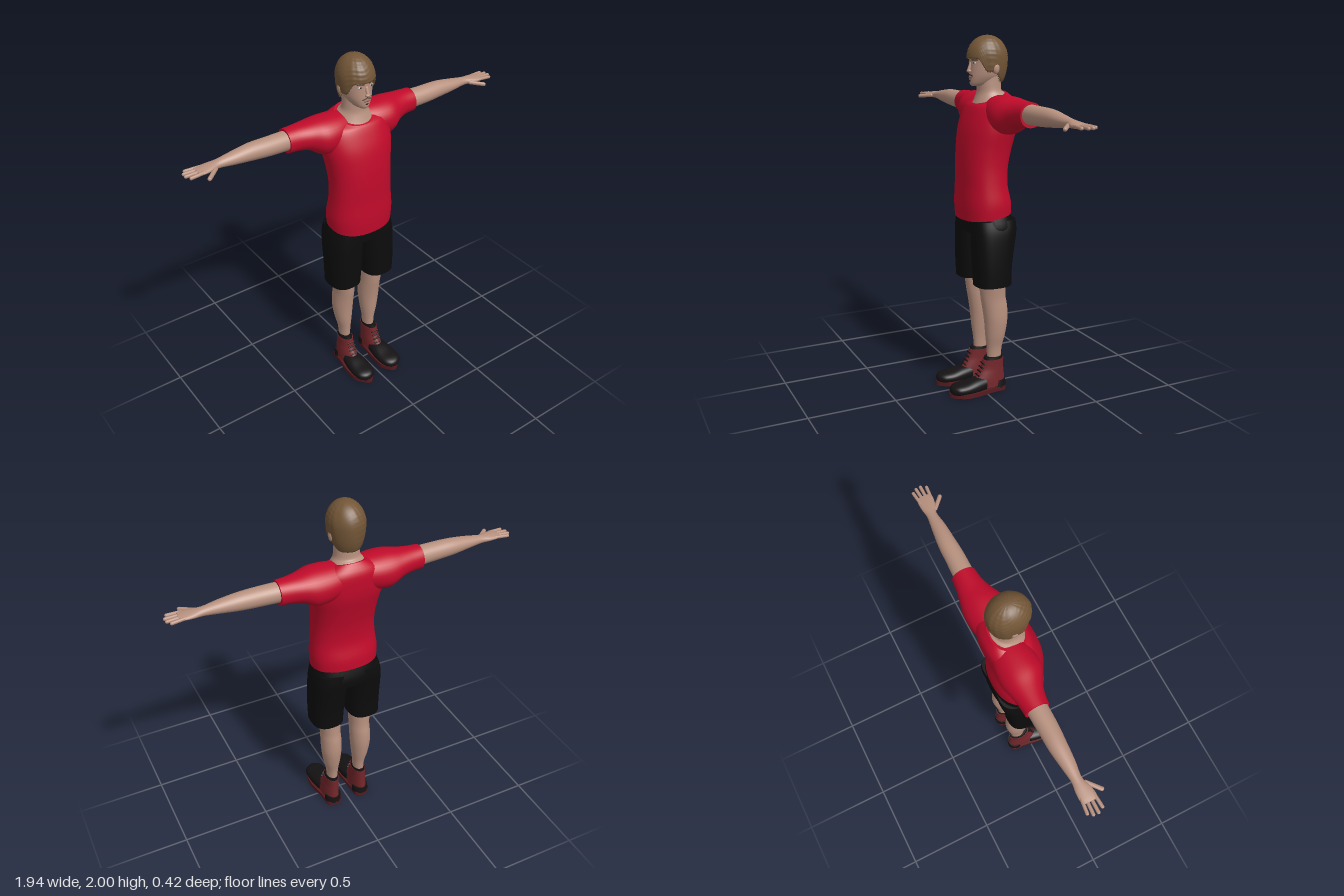
import * as THREE from 'three';
import { mergeVertices } from 'three/addons/utils/BufferGeometryUtils.js';

const material = (name, color) => {
  const m = new THREE.MeshStandardMaterial({ color });
  m.name = name;
  return m;
};

// Smooth capped loft along an axis. Row: [t, a0, a1, b0, b1, tilt], where
// (t,a,b) = (y,x,z), (x,z,y) or (z,y,x); tilt slants the ring along b.
function loft(axis, rows, power = 2, n = 36, steps = 4) {
  const T = 'xyz'.indexOf(axis), B = (T + 1) % 3, A = (T + 2) % 3;
  const pos = [], index = [], rings = [];
  const curve = (k, i, f) => {
    const at = (j) => rows[THREE.MathUtils.clamp(j, 0, rows.length - 1)][k] ?? 0;
    const p0 = at(i - 1), p1 = at(i), p2 = at(i + 1), p3 = at(i + 2);
    const v0 = (p2 - p0) / 2, v1 = (p3 - p1) / 2;
    return (2 * p1 - 2 * p2 + v0 + v1) * f ** 3 + (-3 * p1 + 3 * p2 - 2 * v0 - v1) * f * f + v0 * f + p1;
  };
  const total = (rows.length - 1) * steps;
  const bend = (v) => Math.sign(v) * Math.abs(v) ** (2 / power);
  for (let s = 0; s <= total; s++) {
    const i = Math.min(Math.floor(s / steps), rows.length - 2), f = s / steps - i;
    const [t, a0, a1, b0, b1, tilt] = [0, 1, 2, 3, 4, 5].map((k) => curve(k, i, f));
    const ring = [];
    for (let j = 0; j < n; j++) {
      const w = (j / n) * Math.PI * 2, p = [];
      const db = (bend(Math.sin(w)) * (b1 - b0)) / 2;
      p[A] = (a0 + a1) / 2 + (bend(Math.cos(w)) * (a1 - a0)) / 2;
      p[B] = (b0 + b1) / 2 + db;
      p[T] = t + tilt * db;
      ring.push(p);
      pos.push(...p);
    }
    const c = [];
    c[A] = (a0 + a1) / 2; c[B] = (b0 + b1) / 2; c[T] = t;
    rings.push({ ring, c });
  }
  for (let s = 0; s < total; s++) for (let j = 0; j < n; j++) {
    const a = s * n + j, b = s * n + (j + 1) % n;
    index.push(a, a + n, b, b, a + n, b + n);
  }
  for (const end of [0, total]) {
    const base = pos.length / 3;
    pos.push(...rings[end].c, ...rings[end].ring.flat());
    for (let j = 0; j < n; j++) {
      const p = base + 1 + j, q = base + 1 + (j + 1) % n;
      end ? index.push(base, q, p) : index.push(base, p, q);
    }
  }
  const g = new THREE.BufferGeometry();
  g.setAttribute('position', new THREE.Float32BufferAttribute(pos, 3));
  g.setIndex(index);
  g.computeVertexNormals();
  return g;
}

function mirrored(geometry) {
  const g = geometry.clone();
  if (!g.index) g.setIndex([...Array(g.attributes.position.count).keys()]);
  g.scale(-1, 1, 1);
  const ix = g.index.array;
  for (let i = 0; i < ix.length; i += 3) [ix[i], ix[i + 1]] = [ix[i + 1], ix[i]];
  g.computeVertexNormals();
  return g;
}

const blob = (x, y, z, rx, ry, rz) => new THREE.SphereGeometry(1, 20, 14).scale(rx, ry, rz).translate(x, y, z);

// Rounded rod between two points
function rod(a, b, r) {
  const p = new THREE.Vector3(...a), q = new THREE.Vector3(...b), d = q.clone().sub(p);
  const g = new THREE.CapsuleGeometry(r, d.length(), 5, 10);
  g.applyQuaternion(new THREE.Quaternion().setFromUnitVectors(new THREE.Vector3(0, 1, 0), d.normalize()));
  const m = p.add(q).multiplyScalar(0.5);
  return g.translate(m.x, m.y, m.z);
}

// Tousled cap of hair: low at the nape, higher over the forehead
function hairGeometry() {
  const g = new THREE.SphereGeometry(1, 72, 36);
  const p = g.attributes.position, uv = g.attributes.uv, { smoothstep } = THREE.MathUtils;
  for (let i = 0; i < p.count; i++) {
    const a = uv.getX(i) * Math.PI * 2, v = 1 - uv.getY(i), f = Math.sin(a);
    const limit = 94 + 24 * (1 - smoothstep(f, 0.35, 0.8)) + 26 * (1 - smoothstep(f, -0.7, 0));
    const t = (v * limit * Math.PI) / 180, c = Math.cos(t);
    const tuft = 0.018 * Math.sin(9 * a + 14 * t) * Math.sin(17 * t + 4 * Math.sin(3 * a)) * Math.sin(t);
    const r = (v > 0.98 ? 0.88 : 1) * (0.985 + tuft);
    const s = c < 0 ? Math.sin(t) ** 0.6 : Math.sin(t);
    p.setXYZ(i, -0.099 * Math.cos(a) * s * r, 1.88 + c * (c < 0 ? 0.17 : 0.117 * r), -0.065 + 0.115 * f * s * r);
  }
  g.deleteAttribute('uv');
  g.deleteAttribute('normal');
  const merged = mergeVertices(g, 1e-5);
  merged.computeVertexNormals();
  return merged;
}

export function createModel() {
  const model = new THREE.Group();
  model.name = 'standingMan';
  const skin = material('skin', 0xb8917f), red = material('shirtRed', 0xc00a2a);
  const black = material('shortsBlack', 0x0c0c0d), brown = material('hairBrown', 0x735637);
  const bootRed = material('bootRed', 0x73262a), bootBlack = material('bootBlack', 0x151214);
  const soleRed = material('soleDarkRed', 0x561b1f), white = material('eyeWhite', 0xc8c0ba);
  const dark = material('darkBrown', 0x33231b), lip = material('lip', 0x8f5c52);
  brown.side = THREE.DoubleSide;

  const add = (name, geometry, mat) => {
    const mesh = new THREE.Mesh(geometry, mat);
    mesh.name = name;
    model.add(mesh);
  };
  const pair = (name, geometry, mat) => {
    add(name + 'Left', geometry, mat);
    add(name + 'Right', mirrored(geometry), mat);
  };

  // Head and neck
  add('head', loft('y', [
    [1.728, -0.022, 0.022, -0.04, 0.026], [1.74, -0.043, 0.043, -0.1, 0.036], [1.77, -0.064, 0.064, -0.14, 0.038],
    [1.8, -0.074, 0.074, -0.15, 0.037], [1.85, -0.081, 0.081, -0.16, 0.035], [1.9, -0.082, 0.082, -0.16, 0.035],
    [1.95, -0.068, 0.068, -0.14, 0.012], [1.98, -0.03, 0.03, -0.09, -0.03]]), skin);
  add('neck', loft('y', [
    [1.655, -0.1, 0.1, -0.165, 0.018, -0.35], [1.675, -0.085, 0.085, -0.155, 0.004, -0.25],
    [1.7, -0.07, 0.07, -0.143, -0.008, -0.08], [1.74, -0.066, 0.066, -0.14, -0.008], [1.79, -0.065, 0.065, -0.14, -0.01]]), skin);
  add('hair', hairGeometry(), brown);
  pair('ear', blob(0.085, 1.825, -0.075, 0.014, 0.032, 0.02), skin);

  // Face
  add('noseBridge', rod([0, 1.845, 0.033], [0, 1.812, 0.045], 0.009), skin);
  add('noseTip', blob(0, 1.808, 0.043, 0.015, 0.01, 0.013), skin);
  pair('eyeWhite', blob(0.033, 1.85, 0.026, 0.014, 0.006, 0.005), white);
  pair('iris', blob(0.033, 1.85, 0.029, 0.0055, 0.0055, 0.0035), dark);
  pair('eyebrow', rod([0.017, 1.866, 0.033], [0.048, 1.867, 0.018], 0.0035), dark);
  pair('moustache', rod([0.002, 1.789, 0.038], [0.023, 1.782, 0.034], 0.003), dark);
  add('lips', blob(0, 1.774, 0.037, 0.02, 0.006, 0.005), lip);
  add('chinBeard', blob(0, 1.757, 0.037, 0.008, 0.006, 0.004), dark);

  // T-shirt
  add('shirtBody', loft('y', [
    [1.025, -0.186, 0.186, -0.18, 0.1, -0.14], [1.1, -0.19, 0.19, -0.176, 0.104, -0.05], [1.2, -0.18, 0.18, -0.156, 0.1],
    [1.3, -0.176, 0.176, -0.16, 0.1], [1.4, -0.184, 0.184, -0.18, 0.094], [1.5, -0.2, 0.2, -0.204, 0.078],
    [1.58, -0.2, 0.2, -0.21, 0.05], [1.635, -0.175, 0.175, -0.203, 0.03, -0.12], [1.664, -0.104, 0.104, -0.168, 0.02, -0.33]], 2.3, 48), red);
  pair('sleeve', loft('x', [
    [0.05, -0.195, -0.015, 1.52, 1.68], [0.13, -0.21, 0.01, 1.49, 1.685], [0.21, -0.212, 0.01, 1.485, 1.685],
    [0.28, -0.198, -0.025, 1.525, 1.676], [0.34, -0.187, -0.045, 1.538, 1.672], [0.4, -0.181, -0.053, 1.54, 1.67]], 2.1), red);

  // Arms and hands
  pair('arm', loft('x', [
    [0.36, -0.17, -0.062, 1.555, 1.66], [0.5, -0.165, -0.062, 1.56, 1.66], [0.6, -0.162, -0.068, 1.567, 1.658],
    [0.7, -0.15, -0.075, 1.578, 1.645], [0.78, -0.14, -0.085, 1.587, 1.632], [0.83, -0.146, -0.07, 1.59, 1.627],
    [0.875, -0.147, -0.062, 1.595, 1.622], [0.9, -0.14, -0.068, 1.6, 1.618]], 2, 28), skin);
  const fingers = [[-0.136, 0.942, -0.144], [-0.116, 0.958, -0.121], [-0.095, 0.96, -0.095], [-0.073, 0.945, -0.067]];
  for (const [z, tip, tipZ] of fingers)
    pair('finger', rod([0.87, 1.61, z], [tip, 1.607, tipZ], 0.009), skin);
  pair('thumb', rod([0.81, 1.605, -0.08], [0.87, 1.597, -0.027], 0.011), skin);

  // Shorts
  add('shortsSeat', loft('y', [[0.93, -0.195, 0.195, -0.184, 0.066], [0.98, -0.196, 0.196, -0.187, 0.07],
    [1.06, -0.175, 0.175, -0.165, 0.075]], 2.4), black);
  pair('shortsLeg', loft('y', [
    [0.64, 0.022, 0.205, -0.146, 0.06], [0.75, 0.014, 0.207, -0.15, 0.066], [0.87, 0.006, 0.205, -0.168, 0.07],
    [0.95, 0, 0.199, -0.182, 0.07], [1.01, 0, 0.185, -0.18, 0.068]], 2.6), black);

  // Legs
  pair('leg', loft('y', [
    [0.16, 0.058, 0.118, -0.11, -0.03], [0.25, 0.054, 0.122, -0.115, -0.025], [0.33, 0.044, 0.14, -0.132, -0.016],
    [0.42, 0.036, 0.152, -0.145, -0.008], [0.5, 0.035, 0.152, -0.143, 0.004], [0.57, 0.036, 0.152, -0.132, 0.016],
    [0.7, 0.03, 0.17, -0.13, 0.03]]), skin);

  // Boots
  pair('bootShaft', loft('y', [
    [0.03, 0.045, 0.14, -0.134, 0.06], [0.07, 0.046, 0.138, -0.132, 0.058], [0.105, 0.048, 0.134, -0.128, 0.036],
    [0.14, 0.05, 0.13, -0.126, 0.014], [0.188, 0.05, 0.13, -0.126, 0.002]]), bootRed);
  pair('bootCollar', loft('y', [[0.183, 0.052, 0.128, -0.123, -0.002], [0.203, 0.055, 0.125, -0.12, -0.008]]), bootBlack);
  pair('bootToe', loft('z', [
    [0.0, 0.01, 0.092, 0.044, 0.145], [0.06, 0.005, 0.088, 0.036, 0.156], [0.12, 0.008, 0.076, 0.033, 0.16],
    [0.17, 0.012, 0.07, 0.042, 0.154], [0.197, 0.016, 0.06, 0.064, 0.13], [0.206, 0.025, 0.045, 0.085, 0.108]], 2.3), bootBlack);
  pair('bootHeel', loft('y', [[0.018, 0.043, 0.142, -0.137, -0.04], [0.06, 0.046, 0.138, -0.135, -0.05]]), bootBlack);
  const outline = new THREE.Shape();
  outline.moveTo(0.092, 0.138);
  outline.splineThru([[0.05, 0.115], [0.043, 0.04], [0.034, -0.07], [0.038, -0.15], [0.092, -0.212], [0.152, -0.15],
    [0.162, -0.07], [0.144, 0.04], [0.136, 0.115], [0.092, 0.138]].map(([x, y]) => new THREE.Vector2(x, y)));
  const sole = new THREE.ExtrudeGeometry(outline, { depth: 0.024, bevelEnabled: false, curveSegments: 40 });
  pair('bootSole', sole.rotateX(-Math.PI / 2), soleRed);
  for (let i = 0; i < 4; i++) {
    const y = 0.1 + i * 0.022, z = 0.037 - i * 0.0105;
    pair('bootLace', rod([0.068, y, z - 0.002], [0.112, y, z - 0.002], 0.0045), bootBlack);
  }
  return model;
}
